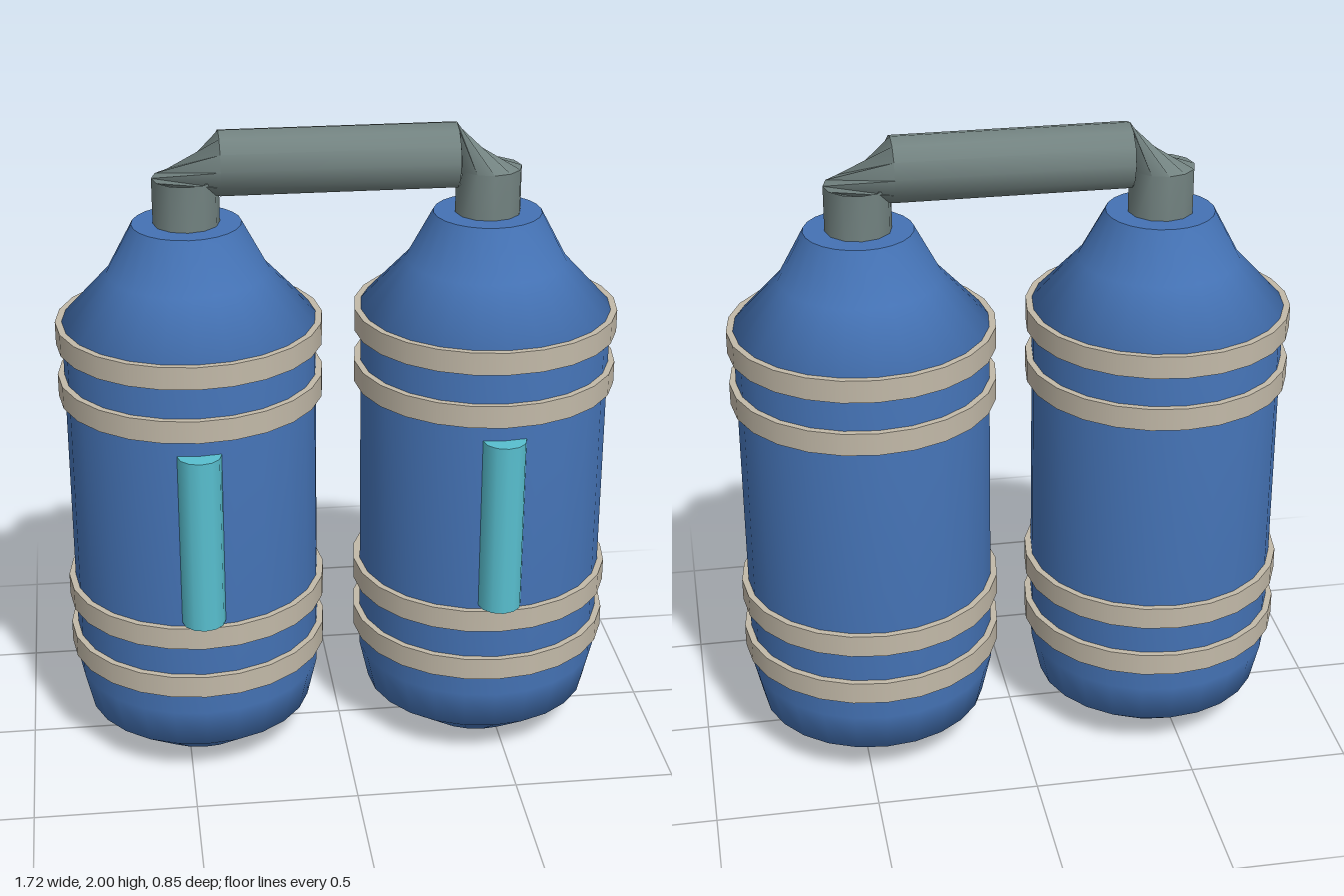
import * as THREE from 'three';
import { toCreasedNormals } from 'three/addons/utils/BufferGeometryUtils.js';

const material = (name, color) => {
  const m = new THREE.MeshStandardMaterial({ color });
  m.name = name;
  return m;
};

const TANK_X = 0.455;
const TANK_Z = -0.02;
const SIDES = 24;

// Pipe lofted through rings: each has a centre, an outward axis and a twist
function pipeGeometry(radius, sides) {
  const Q = Math.PI / 2;
  const rings = [
    [-TANK_X, 1.7, -1, 0, 0],
    [-TANK_X, 1.86, -1, 0, 0],
    [-0.355, 1.9, 0, 1, Q],
    [0.355, 1.9, 0, 1, Q],
    [TANK_X, 1.86, 1, 0, 2 * Q],
    [TANK_X, 1.7, 1, 0, 2 * Q],
  ];
  const positions = [];
  const index = [];
  for (const [cx, cy, ax, ay, twist] of rings) {
    for (let j = 0; j < sides; j++) {
      const t = (j / sides) * Math.PI * 2 + twist;
      const c = Math.cos(t) * radius;
      positions.push(cx + ax * c, cy + ay * c, Math.sin(t) * radius);
    }
  }
  for (let i = 0; i < rings.length - 1; i++) {
    for (let j = 0; j < sides; j++) {
      const k = (j + 1) % sides;
      const a = i * sides + j, b = i * sides + k;
      const c = a + sides, d = b + sides;
      index.push(a, b, d, a, d, c);
    }
  }
  const g = new THREE.BufferGeometry();
  g.setAttribute('position', new THREE.Float32BufferAttribute(positions, 3));
  g.setIndex(index);
  return toCreasedNormals(g, 0.7);
}

export function createModel() {
  const blue = material('tank blue', 0x4472b4);
  const tan = material('band tan', 0xc2b9a8);
  const teal = material('gauge teal', 0x58bfcf);
  const grey = material('pipe grey', 0x728280);
  grey.side = THREE.DoubleSide;

  const model = new THREE.Group();
  model.name = 'twinTanks';
  const add = (parent, name, geometry, mat, x = 0, y = 0, z = 0) => {
    const mesh = new THREE.Mesh(geometry, mat);
    mesh.name = name;
    mesh.position.set(x, y, z);
    parent.add(mesh);
    return mesh;
  };

  // Shared shapes
  const profile = [
    [0.185, 0], [0.355, 0.12], [0.385, 0.25],
    [0.385, 1.42], [0.245, 1.57], [0.165, 1.72],
  ].map(([r, y]) => new THREE.Vector2(r, y));
  const body = new THREE.LatheGeometry(profile, SIDES);
  const topCap = new THREE.CircleGeometry(0.165, SIDES).rotateX(-Math.PI / 2);
  const bottomCap = new THREE.CircleGeometry(0.185, SIDES).rotateX(Math.PI / 2);
  const band = new THREE.CylinderGeometry(0.405, 0.405, 0.07, SIDES);
  const gauge = new THREE.CylinderGeometry(0.066, 0.066, 0.555, 12);

  for (const [side, name] of [[1, 'leftTank'], [-1, 'rightTank']]) {
    const tank = new THREE.Group();
    tank.name = name;
    tank.position.set(side * TANK_X, 0, TANK_Z);
    add(tank, 'tankBody', body, blue);
    add(tank, 'tankTop', topCap, blue, 0, 1.72);
    add(tank, 'tankBottom', bottomCap, blue);
    // Two pairs of straps
    for (const y of [0.355, 0.525, 1.215, 1.385]) add(tank, 'band', band, tan, 0, y);
    // Half-sunken strip on the front
    add(tank, 'gauge', gauge, teal, 0, 0.8525, 0.379);
    model.add(tank);
  }

  // Pipe joining the two necks
  add(model, 'connectingPipe', pipeGeometry(0.1, 12), grey, 0, 0, TANK_Z);
  return model;
}
